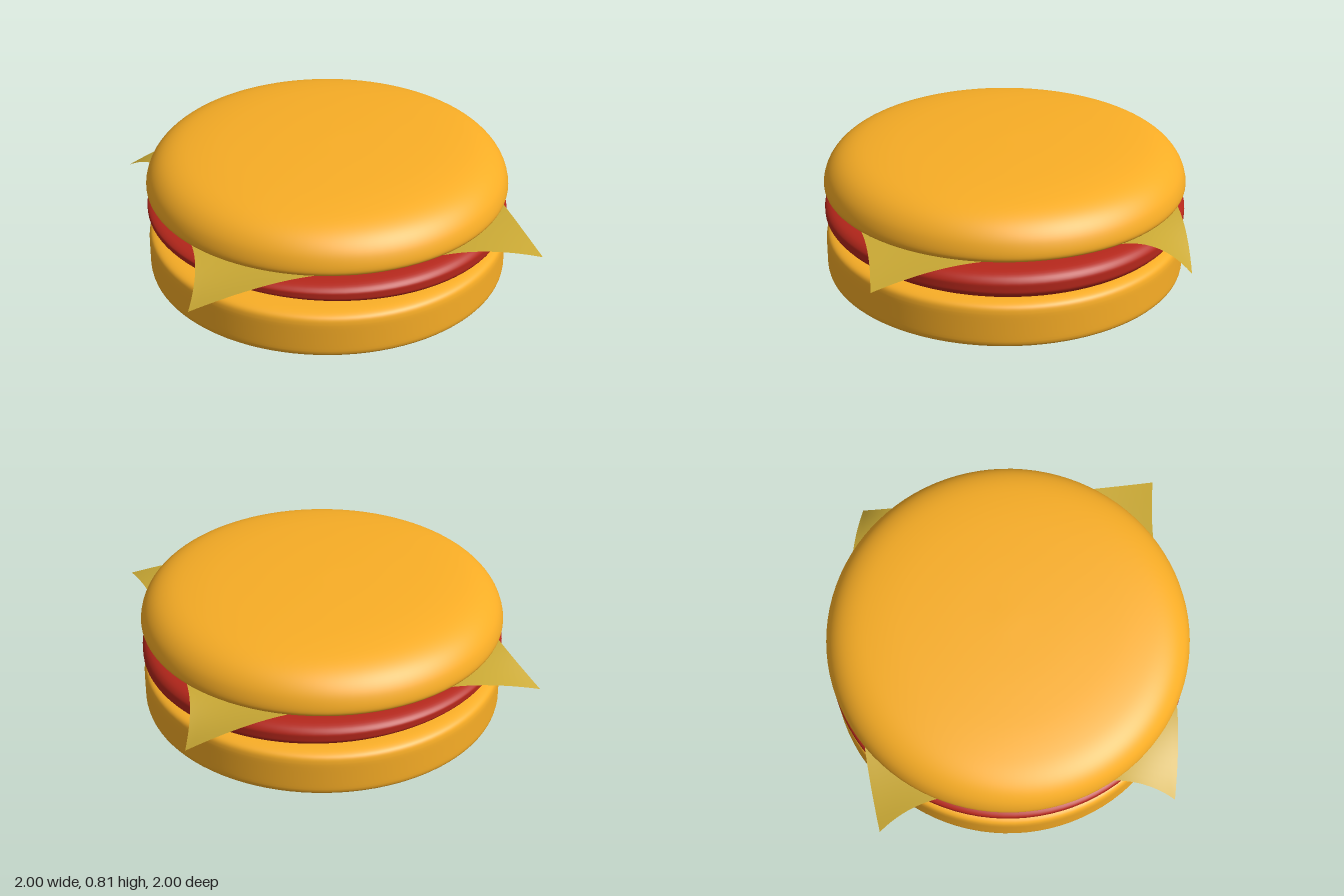
import * as THREE from 'three';
import { mergeVertices } from 'three/addons/utils/BufferGeometryUtils.js';

const bunMaterial = new THREE.MeshStandardMaterial({ color: 0xf9ae26 });
const pattyMaterial = new THREE.MeshStandardMaterial({ color: 0xb5271b });
const cheeseMaterial = new THREE.MeshStandardMaterial({ color: 0xc9a834, side: THREE.DoubleSide });

// Moves every vertex by a rule, then welds and smooths the surface
function reshape(geometry, rule) {
  const pos = geometry.attributes.position;
  const v = new THREE.Vector3();
  for (let i = 0; i < pos.count; i++) {
    v.fromBufferAttribute(pos, i);
    rule(v);
    pos.setXYZ(i, v.x, v.y, v.z);
  }
  geometry.deleteAttribute('uv');
  geometry.deleteAttribute('normal');
  const welded = mergeVertices(geometry, 1e-5);
  welded.computeVertexNormals();
  return welded;
}

// Smooth round slab from a [radius, y] profile, listed from bottom to top
function roundSlab(name, profile, material, rule = () => {}) {
  const curve = new THREE.CatmullRomCurve3(
    profile.map(([r, y]) => new THREE.Vector3(r, y, 0)), false, 'centripetal');
  const points = curve.getPoints(profile.length * 5)
    .map((p) => new THREE.Vector2(THREE.MathUtils.clamp(p.x, 0, 1), p.y));
  const mesh = new THREE.Mesh(reshape(new THREE.LatheGeometry(points, 96), rule), material);
  mesh.name = name;
  return mesh;
}

// Thin square slice whose four corners stretch out and droop
function cheeseSlice() {
  const corners = [
    { x: -0.98, y: 0.36, z: -0.8 },
    { x: 0.95, y: 0.32, z: -0.75 },
    { x: -0.97, y: 0.36, z: 0.81 },
    { x: 0.9, y: 0.43, z: 0.94 },
  ];
  const bend = (t) => Math.max(0, (Math.abs(t) - 0.45) / 0.55) ** 2;
  const geometry = new THREE.PlaneGeometry(2, 2, 48, 48).rotateX(-Math.PI / 2);
  const mesh = new THREE.Mesh(reshape(geometry, (v) => {
    const corner = corners[(v.x > 0 ? 1 : 0) + (v.z > 0 ? 2 : 0)];
    const w = bend(v.x) * bend(v.z);
    const edgeX = Math.sign(v.x) * 0.86;
    const edgeZ = v.z > 0 ? 0.88 : -0.84;
    v.set(
      Math.abs(v.x) * edgeX + w * (corner.x - edgeX),
      0.502 + w * (corner.y - 0.502),
      Math.abs(v.z) * edgeZ + w * (corner.z - edgeZ));
  }), cheeseMaterial);
  mesh.name = 'cheeseSlice';
  return mesh;
}

export function createModel() {
  const burger = new THREE.Group();
  burger.name = 'burger';

  // Bottom bun: straight wall with rounded rims
  burger.add(roundSlab('bottomBun', [
    [0, 0.003], [0.5, 0.008], [0.85, 0.02], [0.96, 0.035], [0.99, 0.05], [1, 0.08],
    [1, 0.23], [0.99, 0.27], [0.96, 0.288], [0.85, 0.299], [0.5, 0.307], [0, 0.31],
  ], bunMaterial));

  // Patty: flat top, underside slanting so it is thicker on the +x side
  burger.add(roundSlab('patty', [
    [0, 0.335], [0.5, 0.336], [0.85, 0.343], [0.96, 0.357], [1, 0.39],
    [1, 0.425], [0.97, 0.453], [0.85, 0.469], [0.5, 0.48], [0, 0.483],
  ], pattyMaterial, (v) => {
    v.y -= 0.047 * v.x * (0.483 - v.y) / 0.148;
  }));

  burger.add(cheeseSlice());

  // Top bun: low dome with a gently curved underside
  burger.add(roundSlab('topBun', [
    [0, 0.505], [0.5, 0.508], [0.85, 0.516], [0.96, 0.524], [0.99, 0.535], [1, 0.56],
    [0.98, 0.637], [0.93, 0.7], [0.85, 0.745], [0.7, 0.777], [0.4, 0.8], [0, 0.81],
  ], bunMaterial));

  return burger;
}
